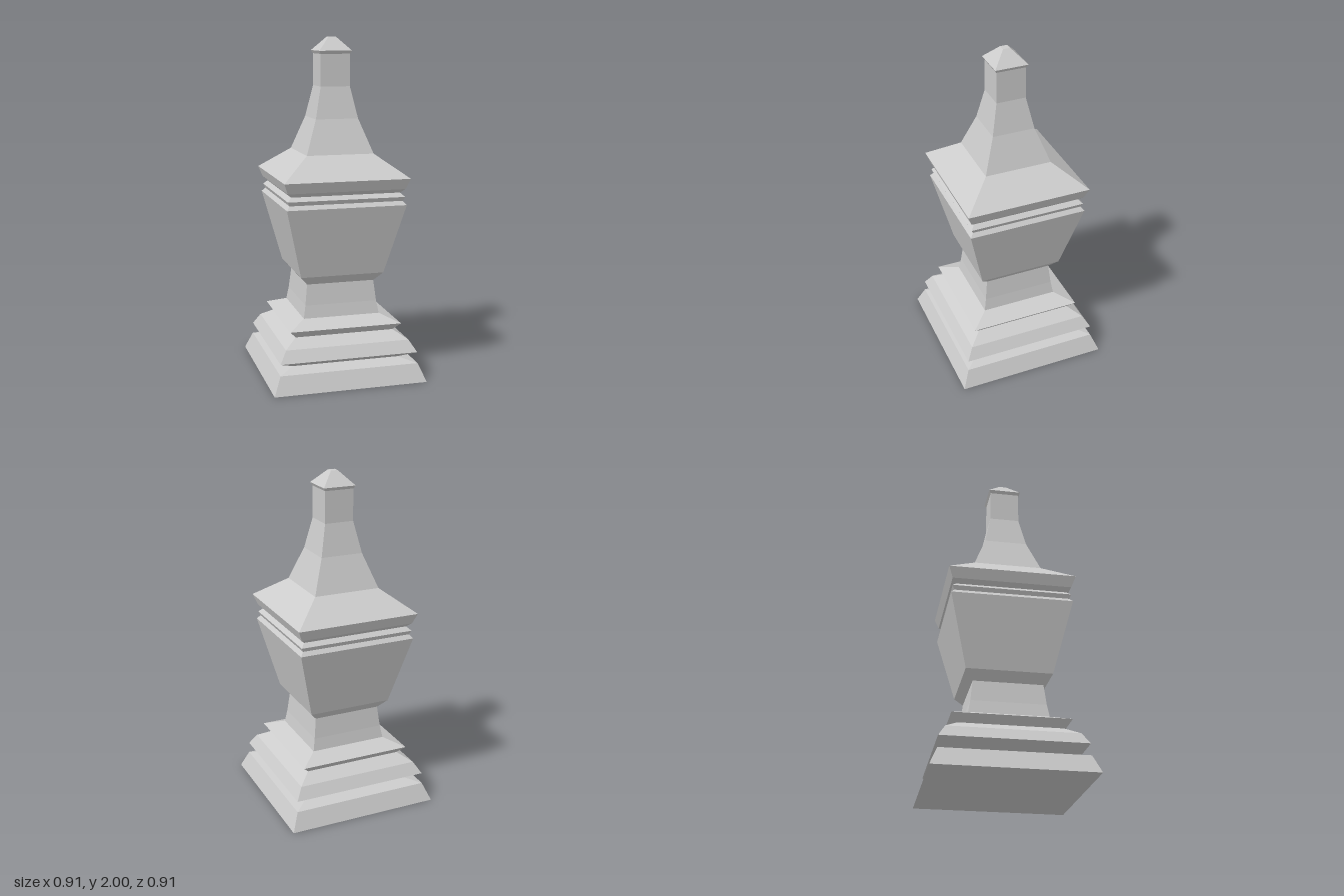
import * as THREE from 'three';

const material = new THREE.MeshStandardMaterial({ color: 0xcccccc, flatShading: true });

// Square turned section: profile of [half width, height], bottom to top
function squareSection(name, profile) {
  const points = profile.map(([w, y]) => new THREE.Vector2(w * Math.SQRT2, y));
  const geometry = new THREE.LatheGeometry(points, 4).rotateY(Math.PI / 4);
  const mesh = new THREE.Mesh(geometry, material);
  mesh.name = name;
  return mesh;
}

export function createModel() {
  const group = new THREE.Group();
  group.name = 'squareFinial';

  group.add(
    // Sloped foot, closed underneath
    squareSection('plinth', [[0, 0], [0.457, 0], [0.413, 0.105], [0.32, 0.125]]),
    // Stepped mouldings above the foot
    squareSection('baseMoulding', [
      [0.32, 0.125], [0.411, 0.172], [0.37, 0.24], [0.295, 0.288], [0.335, 0.332], [0.23, 0.375],
    ]),
    squareSection('neck', [[0.23, 0.375], [0.217, 0.45], [0.203, 0.573]]),
    // Flared urn-like body
    squareSection('body', [[0.203, 0.573], [0.25, 0.627], [0.354, 1.045], [0.335, 1.068]]),
    // Thin band and overhanging cornice
    squareSection('cornice', [
      [0.335, 1.068], [0.346, 1.092], [0.322, 1.115], [0.347, 1.138], [0.371, 1.2],
    ]),
    // Concave tapering roof
    squareSection('spire', [[0.371, 1.2], [0.2, 1.33], [0.127, 1.53], [0.088, 1.715], [0.088, 1.902]]),
    // Small pyramid cap
    squareSection('cap', [[0.088, 1.902], [0.098, 1.92], [0.021, 2], [0, 2]]),
  );
  return group;
}
